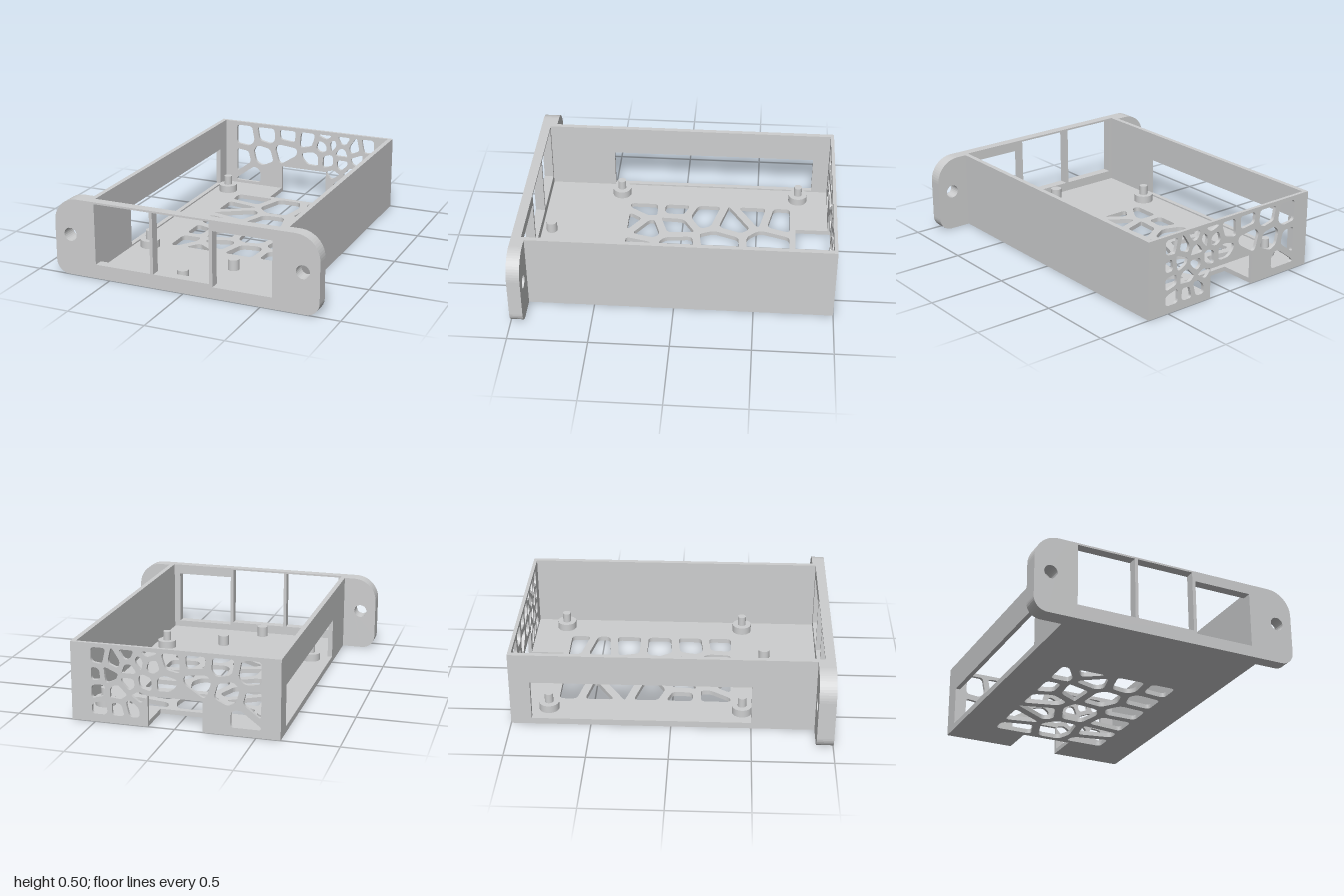
import * as THREE from 'three';

const grey = new THREE.MeshStandardMaterial({ color: 0xcdcecf });
grey.name = 'plastic grey';

const W = 0.648, IN = 0.617, H = 0.495, FLOOR = 0.03;
const FRONT = 0.938, BACK = -0.978;

const poly = (pts) => new THREE.Shape(pts.map(([x, y]) => new THREE.Vector2(x, y)));
const rect = (x0, y0, x1, y1) => poly([[x0, y0], [x1, y0], [x1, y1], [x0, y1]]);
const disc = (x, y, r) => new THREE.Path().absarc(x, y, r, 0, Math.PI * 2);

function mesh(name, geometry) {
  const m = new THREE.Mesh(geometry, grey);
  m.name = name;
  return m;
}

function slab(name, shape, holes, depth) {
  shape.holes.push(...holes);
  return mesh(name, new THREE.ExtrudeGeometry(shape, { depth, bevelEnabled: false, curveSegments: 12 }));
}

// Keep the part of a polygon where (p - m) . n <= -gap
function clip(pts, m, n, gap) {
  const side = (p) => (p[0] - m[0]) * n[0] + (p[1] - m[1]) * n[1] + gap;
  const out = [];
  pts.forEach((a, i) => {
    const b = pts[(i + 1) % pts.length], da = side(a), db = side(b);
    if (da <= 0) out.push(a);
    if (da * db < 0) {
      const t = da / (da - db);
      out.push([a[0] + (b[0] - a[0]) * t, a[1] + (b[1] - a[1]) * t]);
    }
  });
  return out;
}

// Polygon with softened corners
function rounded(pts, r) {
  const path = new THREE.Path();
  pts.forEach((p, i) => {
    const toward = (q) => {
      const len = Math.hypot(q[0] - p[0], q[1] - p[1]);
      const t = Math.min(r / len, 0.45);
      return [p[0] + (q[0] - p[0]) * t, p[1] + (q[1] - p[1]) * t];
    };
    const a = toward(pts[(i + pts.length - 1) % pts.length]);
    const b = toward(pts[(i + 1) % pts.length]);
    if (i === 0) path.moveTo(...a); else path.lineTo(...a);
    path.quadraticCurveTo(...p, ...b);
  });
  path.closePath();
  return path;
}

// Cellular vent holes around seed points; solid seeds stay closed
function vents([x0, y0, x1, y1], seeds, solid, gapAt, r) {
  const all = [...seeds, ...solid], holes = [];
  for (const s of seeds) {
    let cell = [[x0, y0], [x1, y0], [x1, y1], [x0, y1]];
    for (const o of all) {
      if (o === s) continue;
      const d = Math.hypot(o[0] - s[0], o[1] - s[1]);
      const n = [(o[0] - s[0]) / d, (o[1] - s[1]) / d];
      cell = clip(cell, [(s[0] + o[0]) / 2, (s[1] + o[1]) / 2], n, gapAt(s[0]));
    }
    if (cell.length > 2) holes.push(rounded(cell, r));
  }
  return holes;
}

export function createModel() {
  const model = new THREE.Group();
  model.name = 'ventedTray';

  // Floor with vents and a notch at the back (shape y is -z)
  const floorSeeds = [
    [-0.285, -0.655], [-0.32, -0.48], [-0.24, -0.35], [-0.295, -0.135], [-0.36, 0.05],
    [-0.355, 0.26], [-0.18, 0.06], [-0.125, 0.23], [-0.21, 0.355], [-0.015, -0.565],
    [0, -0.26], [0.045, 0.04], [0.09, 0.285], [0.285, -0.67], [0.255, -0.52],
    [0.275, -0.33], [0.275, -0.115], [0.295, 0.1], [0.315, 0.3],
  ].map(([x, z]) => [x, -z]);
  const floorShape = poly([
    [-IN, -FRONT], [IN, -FRONT], [IN, -BACK], [0.165, -BACK], [0.165, 0.763],
    [-0.175, 0.763], [-0.175, -BACK], [-IN, -BACK],
  ]);
  const floorVents = vents([-0.4, -0.37, 0.39, 0.725], floorSeeds, [], () => 0.026, 0.035);
  const floor = slab('floor', floorShape, floorVents, FLOOR);
  floor.rotation.x = -Math.PI / 2;
  model.add(floor);

  // Back wall with finer vents and a notch at the bottom
  const backSeeds = [
    [-0.47, 0.395], [-0.29, 0.43], [-0.49, 0.215], [-0.325, 0.255], [-0.15, 0.305],
    [-0.4, 0.095], [-0.135, 0.44], [0.03, 0.425], [0.065, 0.275], [0.14, 0.39],
    [0.165, 0.46], [0.185, 0.275], [0.215, 0.405], [0.29, 0.44], [0.28, 0.355],
    [0.37, 0.39], [0.48, 0.415], [0.405, 0.31], [0.495, 0.3], [0.28, 0.265],
    [0.35, 0.2], [0.485, 0.2], [0.26, 0.115], [0.215, 0.175], [0.36, 0.09], [0.455, 0.09],
  ];
  const solidSeeds = [[-0.25, 0.1], [-0.06, 0.17], [0.06, 0.15], [0.15, 0.12]];
  const backShape = poly([
    [-IN, 0], [-0.175, 0], [-0.175, 0.195], [0.165, 0.195], [0.165, 0], [IN, 0], [IN, H], [-IN, H],
  ]);
  const backVents = vents([-0.53, 0.05, 0.52, 0.47], backSeeds, solidSeeds,
    (x) => (x < 0.1 ? 0.02 : 0.015), 0.025);
  const backWall = slab('backWall', backShape, backVents, BACK + 1);
  backWall.position.z = -1;
  model.add(backWall);

  // Side walls: one solid, one with a long opening (shape x is z)
  for (const s of [1, -1]) {
    const holes = s < 0 ? [rect(-0.87, 0.04, 0.5, 0.3)] : [];
    const wall = slab(s > 0 ? 'leftWall' : 'rightWall', rect(-1, 0, FRONT, H), holes, W - IN);
    wall.rotation.y = -Math.PI / 2;
    wall.position.x = s > 0 ? W : -IN;
    model.add(wall);
  }

  // Front panel with three windows
  const front = slab('frontPanel', rect(-W, 0, W, H), [
    rect(-0.595, 0.09, -0.22, 0.483),
    rect(-0.2, 0.09, 0.172, 0.483),
    rect(0.193, 0.073, 0.575, 0.428),
  ], 1 - FRONT);
  front.position.z = FRONT;
  model.add(front);

  // Mounting ears with rounded corners and a screw hole
  for (const s of [1, -1]) {
    const X = 0.87, top = 0.155, low = 0.085;
    const ear = new THREE.Shape();
    ear.moveTo(s * W, 0);
    ear.lineTo(s * (X - low), 0);
    for (let i = 1; i <= 10; i++) {
      const a = (i / 10) * Math.PI / 2;
      ear.lineTo(s * (X - low + low * Math.sin(a)), low - low * Math.cos(a));
    }
    for (let i = 0; i <= 14; i++) {
      const a = (i / 14) * Math.PI / 2;
      ear.lineTo(s * (X - top + top * Math.cos(a)), H - top + top * Math.sin(a));
    }
    ear.lineTo(s * W, H);
    const depth = s > 0 ? 0.083 : 0.105;
    const m = slab(s > 0 ? 'leftEar' : 'rightEar', ear, [disc(s * 0.765, 0.263, 0.043)], depth);
    m.position.z = 1 - depth;
    model.add(m);
  }

  // Posts standing on the floor
  const post = (name, x, z, r, y0, y1) => {
    const m = mesh(name, new THREE.CylinderGeometry(r, r, y1 - y0, 32));
    m.position.set(x, (y0 + y1) / 2, z);
    model.add(m);
  };
  for (const x of [-0.512, 0.517]) {
    for (const z of [-0.775, 0.443]) {
      post('standoffBase', x, z, 0.063, FLOOR - 0.01, 0.08);
      post('standoffPin', x, z, 0.027, 0.075, 0.142);
    }
  }
  post('supportPost', -0.063, 0.873, 0.036, FLOOR - 0.01, 0.1);
  post('supportPost', 0.147, 0.592, 0.036, FLOOR - 0.01, 0.1);

  return model;
}
